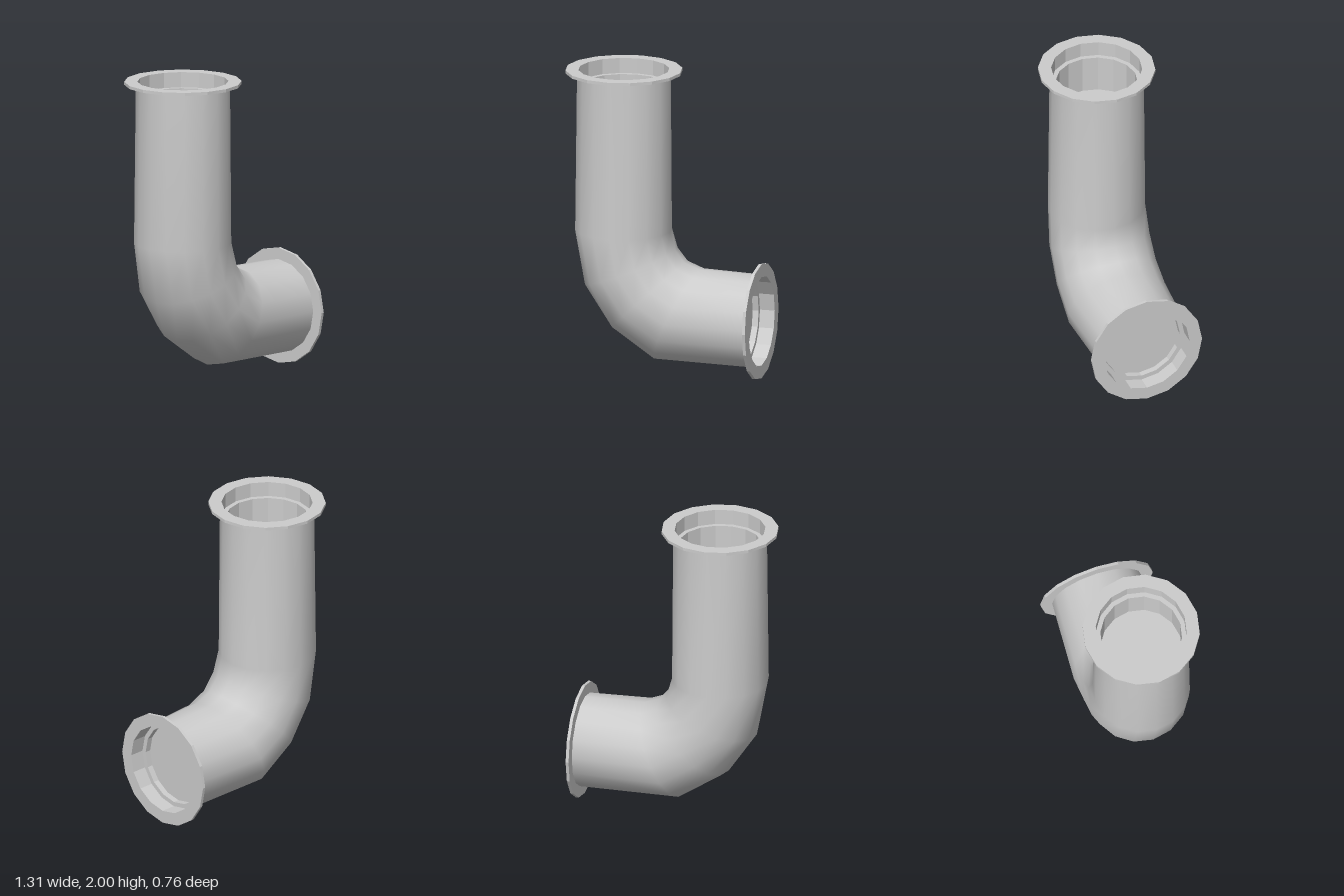
import * as THREE from 'three';

const SIDES = 16;

// Flange ring with a stepped socket; its face lies at y = 0 and looks up +y
function makeFlange(name, floorDepth) {
  const profile = [
    [0.3, -0.02], [0.38, -0.02], [0.38, 0], [0.295, 0],
    [0.295, -0.1], [0.265, -0.1], [0.265, -floorDepth], [0, -floorDepth],
  ].map(([x, y]) => new THREE.Vector2(x, y));
  const mesh = new THREE.Mesh(
    new THREE.LatheGeometry(profile, SIDES),
    new THREE.MeshStandardMaterial({ color: 0xcccccc, flatShading: true })
  );
  mesh.name = name;
  return mesh;
}

// Elbow lofted through rings: [outer x, outer y, inner x, inner y, half width in z]
function makePipe() {
  const rings = [
    [-0.58, 1.98, 0.03, 1.98, 0.305],
    [-0.592, 0.935, 0.037, 0.935, 0.315],
    [-0.523, 0.57, 0.072, 0.815, 0.328],
    [-0.335, 0.29, 0.135, 0.737, 0.333],
    [-0.043, 0.095, 0.237, 0.70, 0.336],
    [0.635, 0.08, 0.635, 0.69, 0.305],
  ];
  const positions = [];
  const index = [];
  rings.forEach(([ox, oy, ix, iy, w], i) => {
    for (let j = 0; j < SIDES; j++) {
      const a = (j / SIDES) * Math.PI * 2;
      const c = Math.cos(a) / 2;
      positions.push((ox + ix) / 2 + (ox - ix) * c, (oy + iy) / 2 + (oy - iy) * c, w * Math.sin(a));
      if (i < rings.length - 1) {
        const p = i * SIDES + j;
        const q = i * SIDES + ((j + 1) % SIDES);
        index.push(p, p + SIDES, q, q, p + SIDES, q + SIDES);
      }
    }
  });
  const geometry = new THREE.BufferGeometry();
  geometry.setAttribute('position', new THREE.Float32BufferAttribute(positions, 3));
  geometry.setIndex(index);
  geometry.computeVertexNormals();
  const mesh = new THREE.Mesh(geometry, new THREE.MeshStandardMaterial({ color: 0xcccccc }));
  mesh.name = 'elbowPipe';
  return mesh;
}

export function createModel() {
  const group = new THREE.Group();
  group.name = 'pipeElbow';

  const top = makeFlange('topFlange', 0.35);
  top.position.set(-0.275, 2, 0);

  const side = makeFlange('sideFlange', 0.14);
  side.rotation.z = -Math.PI / 2;
  side.position.set(0.655, 0.385, 0);

  group.add(makePipe(), top, side);
  return group;
}
